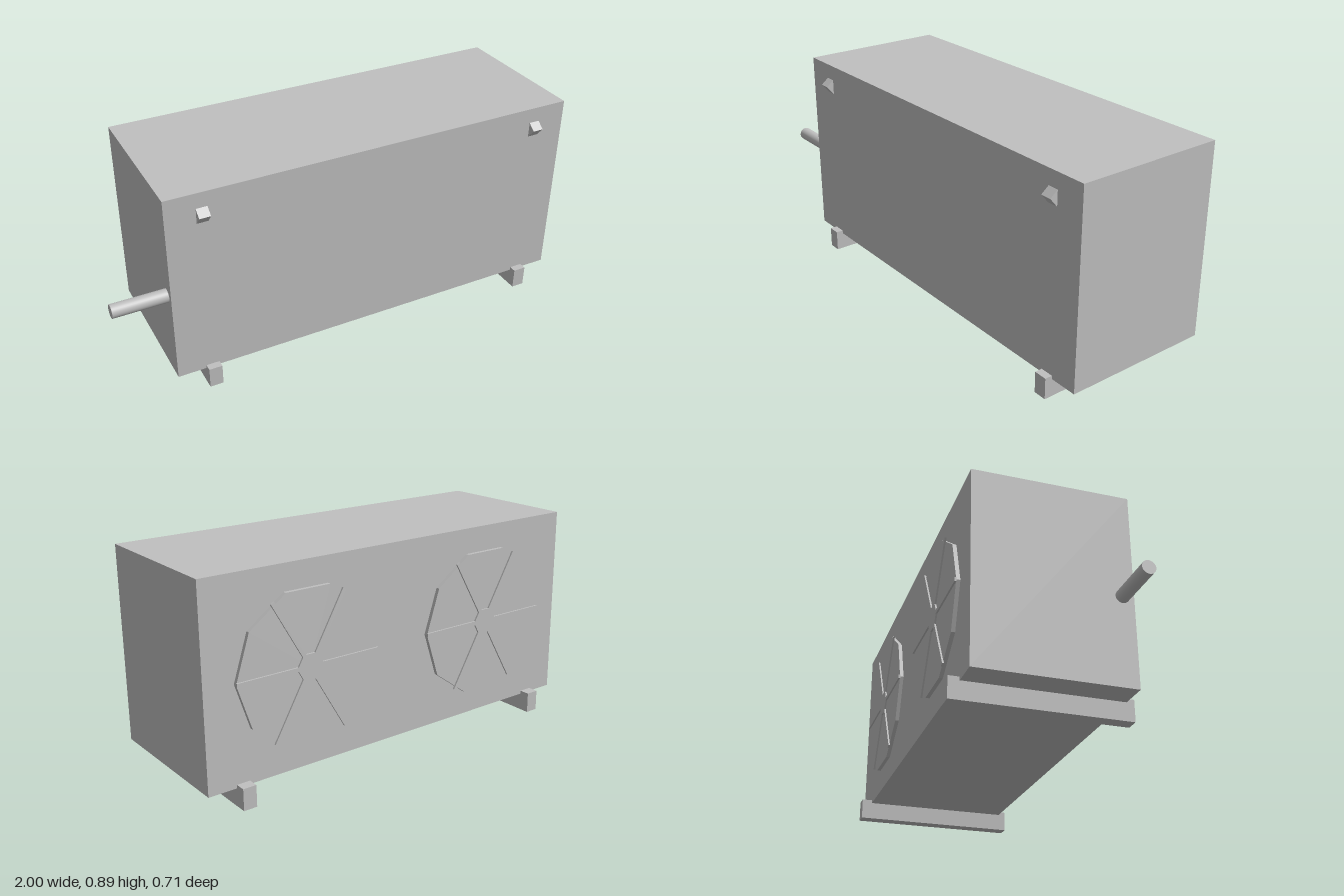
import * as THREE from 'three';

export function createModel() {
  const model = new THREE.Group();
  model.name = 'fanCoolerUnit';
  const grey = new THREE.MeshStandardMaterial({ color: 0xc0c0c0 });
  grey.name = 'light grey';

  const midX = 0.11; // centre of the casing
  const add = (parent, name, geometry, x, y, z) => {
    const mesh = new THREE.Mesh(geometry, grey);
    mesh.name = name;
    mesh.position.set(x, y, z);
    parent.add(mesh);
    return mesh;
  };
  // Flat-sided disc facing the back, with a corner on the x axis
  const disc = (radius, depth, sides) =>
    new THREE.CylinderGeometry(radius, radius, depth, sides).rotateY(Math.PI / 2).rotateX(Math.PI / 2)
      .toNonIndexed();
  const flat = (geometry) => { geometry.computeVertexNormals(); return geometry; };

  // Casing
  add(model, 'casing', new THREE.BoxGeometry(1.777, 0.815, 0.637), midX, 0.4825, 0.0065);

  // Wedge section of the front lugs: z along the shape's x, y up
  const wedge = new THREE.Shape([
    new THREE.Vector2(-0.01, -0.038),
    new THREE.Vector2(0, -0.038),
    new THREE.Vector2(0.032, 0),
    new THREE.Vector2(0, 0.026),
    new THREE.Vector2(-0.01, 0.026),
  ]);
  const lugGeometry = new THREE.ExtrudeGeometry(wedge, { depth: 0.046, bevelEnabled: false });
  lugGeometry.translate(0, 0, -0.023).rotateY(-Math.PI / 2);

  for (const side of [-1, 1]) {
    const label = side < 0 ? 'right' : 'left';
    // Foot rail and lug above it
    add(model, label + 'FootRail', new THREE.BoxGeometry(0.056, 0.089, 0.713), midX + side * 0.742, 0.0445, 0);
    add(model, label + 'Lug', lugGeometry, midX + side * 0.742, 0.8, 0.325);

    // Fan on the back: ten-sided plate, hub and six spokes
    const fan = new THREE.Group();
    fan.name = label + 'Fan';
    fan.position.set(midX + side * 0.446, 0.482, -0.312);
    add(fan, 'fanPlate', flat(disc(0.317, 0.02, 10)), 0, 0, -0.006);
    add(fan, 'fanHub', flat(disc(0.06, 0.009, 6)), 0, 0, -0.0185);
    for (let i = 0; i < 6; i++) {
      const a = (i * Math.PI) / 3;
      const spoke = add(fan, 'fanSpoke', new THREE.BoxGeometry(0.267, 0.017, 0.008),
        Math.cos(a) * 0.1845, Math.sin(a) * 0.1845, -0.019);
      spoke.rotation.z = a;
    }
    model.add(fan);
  }

  // Pipe stub out of the side
  add(model, 'pipe', new THREE.CylinderGeometry(0.028, 0.028, 0.24, 32).rotateZ(Math.PI / 2), -0.88, 0.447, 0.277);

  return model;
}
